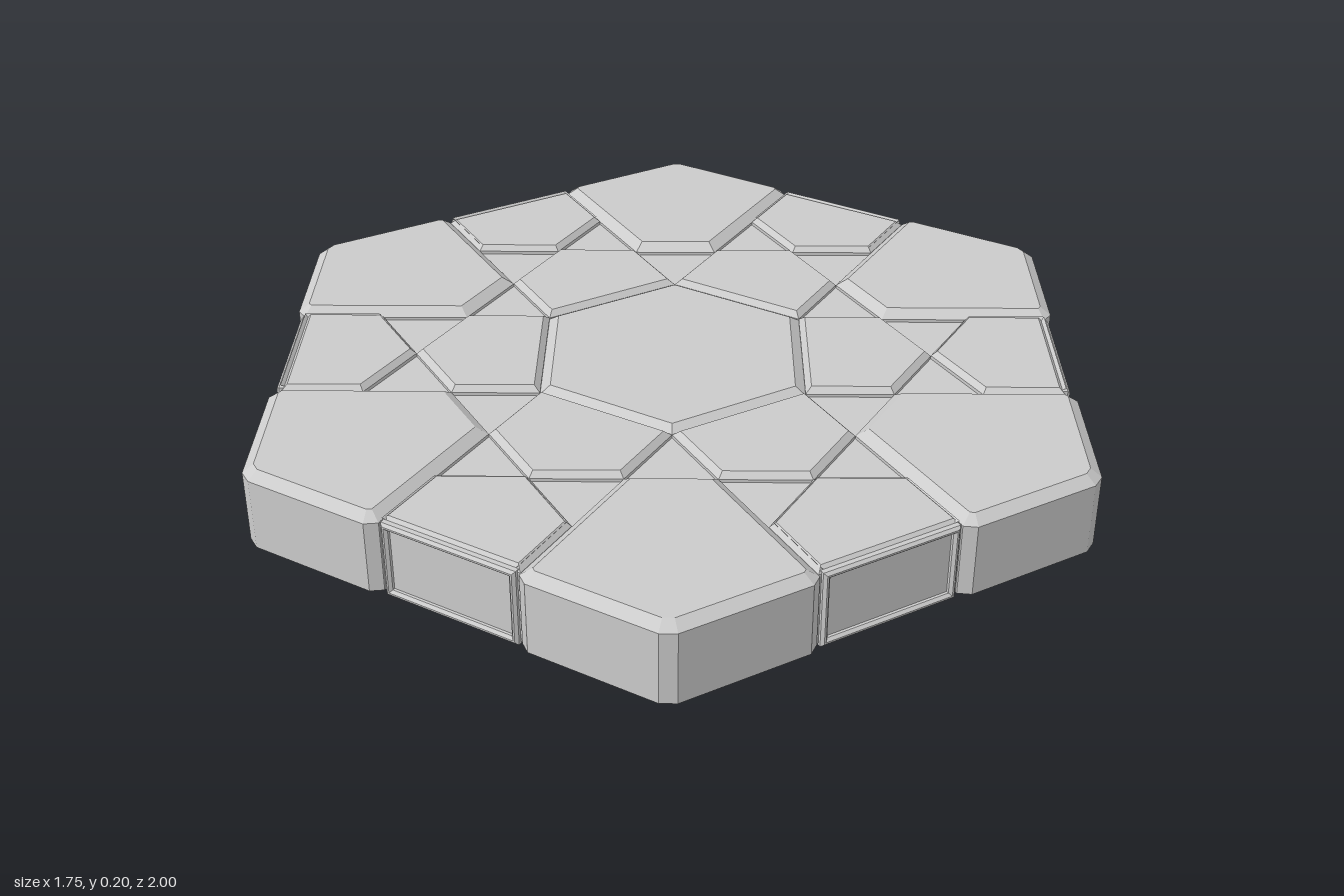
import * as THREE from 'three';

const mat = new THREE.MeshStandardMaterial({ color: 0xcccccc, flatShading: true });
const R3 = Math.sqrt(3);
const MID = 0.1; // mid height of the slab, mirrored above and below

const toPoints = (pts) => pts.map(([x, y]) => new THREE.Vector2(x, y));

// Bevelled slab from a plan outline (x, z), symmetric about the mid height
function slab(name, outline, half, bevelWide, bevelHigh, hole) {
  const shape = new THREE.Shape(toPoints(outline));
  if (hole) shape.holes.push(new THREE.Path(toPoints(hole)));
  const geo = new THREE.ExtrudeGeometry(shape, {
    depth: 2 * (half - bevelHigh),
    bevelEnabled: true,
    bevelSegments: 1,
    bevelSize: bevelWide,
    bevelOffset: -bevelWide,
    bevelThickness: bevelHigh,
  });
  geo.translate(0, 0, -(half - bevelHigh));
  geo.rotateX(-Math.PI / 2);
  geo.translate(0, MID, 0);
  const mesh = new THREE.Mesh(geo, mat);
  mesh.name = name;
  return mesh;
}

// Regular hexagon with corners on the z axis
function hexagon(radius) {
  return Array.from({ length: 6 }, (_, i) => {
    const a = Math.PI / 6 + (i * Math.PI) / 3;
    return [radius * Math.cos(a), radius * Math.sin(a)];
  });
}

// Raised plate at one corner of the hexagon, with its outer corners cut
function cornerPlate() {
  const half = [[0.018, 1.0], [0.272, 0.853], [0.284, 0.825], [0.096, 0.5]];
  const mirrored = half.map(([x, y]) => [-x, y]).reverse();
  return slab('cornerPlate', [...mirrored, ...half].reverse(), 0.1, 0.024, 0.018);
}

// Pentagon beside the centre, pointing outward along x
function innerPlate() {
  const s = 0.5 / 3;
  const outline = [[R3 / 6, -s], [0.481, -s], [R3 / 3, 0], [0.481, s], [R3 / 6, s]];
  return slab('innerPlate', outline, 0.095, 0.013, 0.013);
}

// Pentagonal frame at the middle of one side, sunk panel on top, below and outside
function edgeFrame() {
  const group = new THREE.Group();
  group.name = 'edgeFrame';
  const s = 0.5 / 3;
  const outline = [[0.852, -s], [0.674, -s], [R3 / 3, 0], [0.674, s], [0.852, s]].reverse();
  const hole = [[0.842, -0.148], [0.687, -0.148], [0.603, 0], [0.687, 0.148], [0.842, 0.148]];
  group.add(slab('panelFrame', outline, 0.095, 0.012, 0.012, hole));

  // Rectangular frame on the outer wall
  const rect = (w, h) => toPoints([[-w, -h], [w, -h], [w, h], [-w, h]]);
  const shape = new THREE.Shape(rect(0.16, 0.088));
  shape.holes.push(new THREE.Path(rect(0.144, 0.072).reverse()));
  const geo = new THREE.ExtrudeGeometry(shape, {
    depth: 0.018,
    bevelEnabled: true,
    bevelSegments: 1,
    bevelSize: 0.006,
    bevelOffset: -0.006,
    bevelThickness: 0.006,
  });
  geo.rotateY(Math.PI / 2);
  geo.translate(0.84, MID, 0);
  const sideFrame = new THREE.Mesh(geo, mat);
  sideFrame.name = 'sideFrame';
  group.add(sideFrame);
  return group;
}

export function createModel() {
  const model = new THREE.Group();
  model.name = 'hexTile';

  // Core forms the sunk floors and the bottoms of the grooves
  model.add(slab('core', hexagon(0.848 * 2 / R3), 0.075, 0.004, 0.004));
  model.add(slab('centrePlate', hexagon(1 / 3), 0.095, 0.022, 0.016));

  // Six-fold repeat
  for (let i = 0; i < 6; i++) {
    const sector = new THREE.Group();
    sector.name = `sector${i + 1}`;
    sector.add(cornerPlate(), innerPlate(), edgeFrame());
    sector.rotation.y = (i * Math.PI) / 3;
    model.add(sector);
  }
  return model;
}
